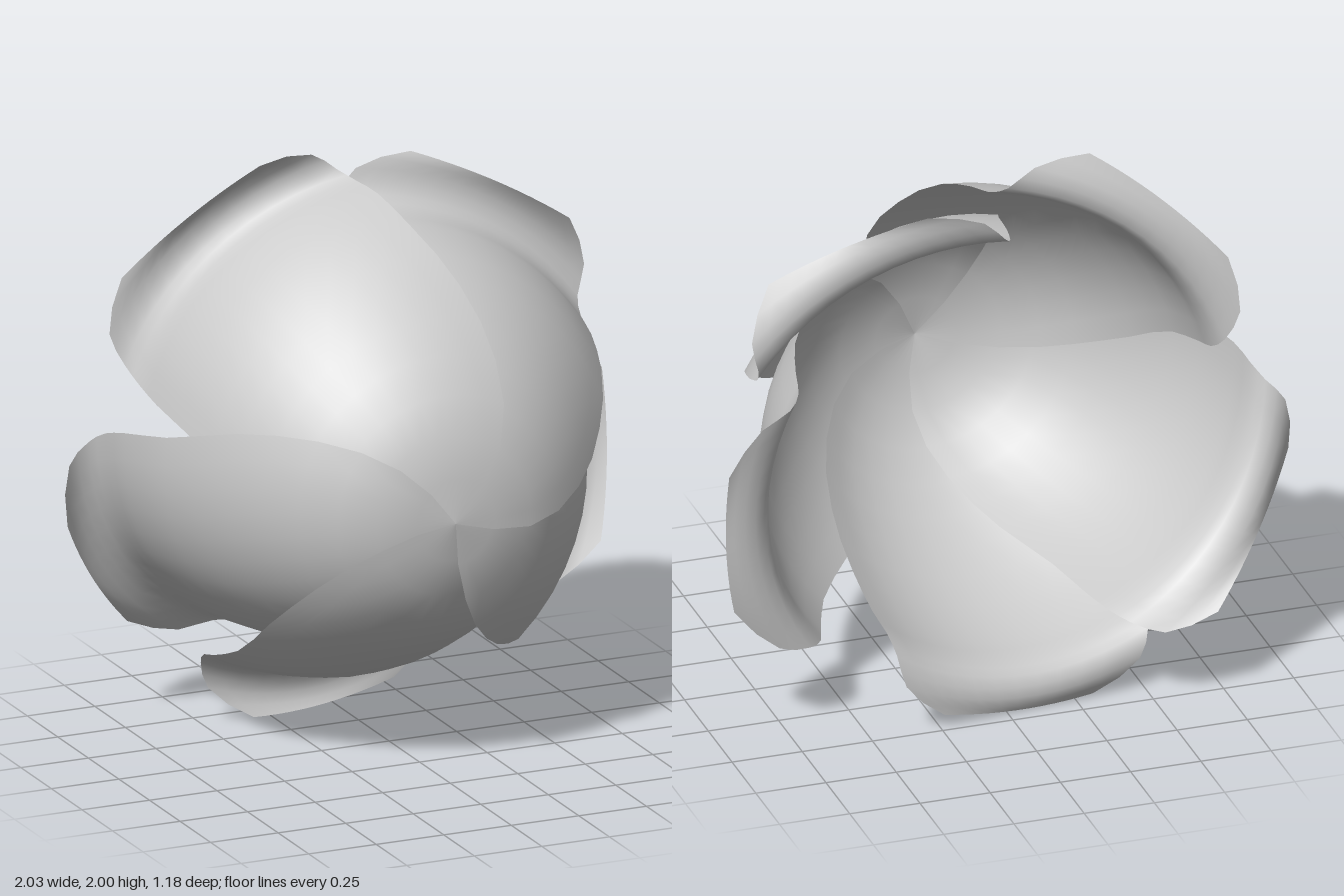
import * as THREE from 'three';

// Petal profile from cup base to curled tip: radius, depth, half-width in degrees
const profile = new THREE.CatmullRomCurve3([
  [0, 0.58, 80], [0.28, 0.53, 70], [0.5, 0.37, 58], [0.655, 0.16, 48], [0.765, -0.06, 40],
  [0.815, -0.25, 37], [0.83, -0.36, 35], [0.865, -0.43, 32], [0.94, -0.45, 27], [1.0, -0.425, 16],
].map((p) => new THREE.Vector3(...p)));

const ROWS = 18, COLS = 12;

// One thin petal; its clockwise edge flares outward, over the neighbouring petal
function petalGeometry({ angle, size, width, flare, twist, depth }) {
  const positions = [], indices = [];
  for (let i = 0; i <= ROWS; i++) {
    const v = i / ROWS;
    const p = profile.getPoint(v);
    for (let j = 0; j <= COLS; j++) {
      const t = (j / COLS) * 2 - 1;
      const a = THREE.MathUtils.degToRad(angle + t * p.z * width);
      const r = p.x * size * (1 + 0.02 * v * t * t - flare * t * Math.sin(v * 2.7));
      const z = p.y - t * (0.02 * Math.min(1, v * 8) + twist * v * v) - depth * v * v;
      positions.push(r * Math.cos(a), r * Math.sin(a), z);
      if (i < ROWS && j < COLS) {
        const k = i * (COLS + 1) + j, n = k + COLS + 1;
        if (i > 0) indices.push(k, n, k + 1);
        indices.push(n, n + 1, k + 1);
      }
    }
  }
  const geometry = new THREE.BufferGeometry();
  geometry.setAttribute('position', new THREE.Float32BufferAttribute(positions, 3));
  geometry.setIndex(indices);
  geometry.computeVertexNormals();
  return geometry;
}

export function createModel() {
  const flower = new THREE.Group();
  flower.name = 'flower';
  const material = new THREE.MeshStandardMaterial({ color: 0xcccccc, side: THREE.DoubleSide });

  // Five overlapping petals around the cup
  const petals = [
    { name: 'upperRightPetal', angle: 123, size: 1.03, width: 1, flare: 0.1, twist: 0.06, depth: -0.03 },
    { name: 'upperLeftPetal', angle: 57, size: 1.03, width: 0.97, flare: 0.075, twist: 0.07, depth: -0.05 },
    { name: 'leftPetal', angle: -10, size: 1.02, width: 1, flare: 0.05, twist: 0.04, depth: -0.02 },
    { name: 'bottomPetal', angle: -91, size: 0.94, width: 1.05, flare: 0.07, twist: 0.02, depth: 0.02 },
    { name: 'rightPetal', angle: 205, size: 0.95, width: 1.03, flare: 0.14, twist: 0.1, depth: 0.05 },
  ];
  for (const petal of petals) {
    const mesh = new THREE.Mesh(petalGeometry(petal), material);
    mesh.name = petal.name;
    mesh.position.set(-0.015, 0.95, 0);
    flower.add(mesh);
  }
  return flower;
}
